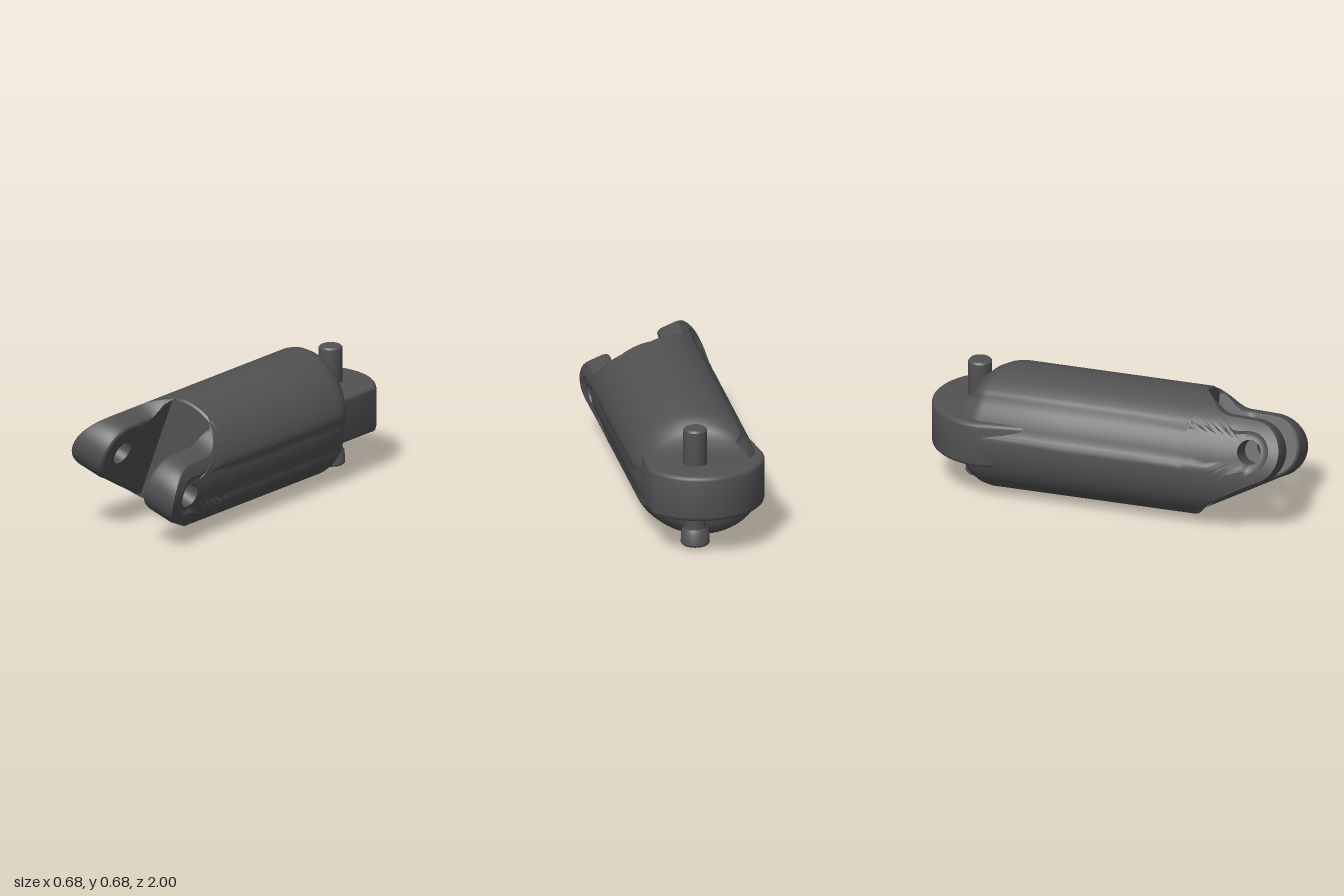
import * as THREE from 'three';
import { toCreasedNormals } from 'three/addons/utils/BufferGeometryUtils.js';

const R = 0.34;                 // body radius, also the height of its axis
const TILT = 0.36;              // roll of the fork about the body axis
const HZ = 0.81, HV = 0.05;     // hinge centre in the fork's own frame
const HOLE = 0.065, GAP = 0.14;
const COS = Math.cos(TILT), SIN = Math.sin(TILT);

// fork frame (u across, v up) to model space
const place = (u, v, z) => new THREE.Vector3(u * COS + v * SIN, R - u * SIN + v * COS, z);

// shallow side channel that runs back from the hinge hole
function groove(v, z) {
  const d = z > HZ ? Math.hypot(z - HZ, v - HV) : Math.abs(v - HV);
  return 0.018 * (1 - THREE.MathUtils.smoothstep(d, 0.085, 0.11));
}

// skin through closed loops of equal length
function skin(loops, wrap = false, crease = 0.6) {
  const n = loops[0].length, index = [];
  const rows = wrap ? loops.length : loops.length - 1;
  for (let i = 0; i < rows; i++) {
    for (let j = 0; j < n; j++) {
      const k = (j + 1) % n, p = i * n, q = ((i + 1) % loops.length) * n;
      index.push(p + j, p + k, q + k, p + j, q + k, q + j);
    }
  }
  const g = new THREE.BufferGeometry().setFromPoints(loops.flat());
  g.setIndex(index);
  return toCreasedNormals(g, crease);
}

// barrel with a domed, slightly slanted back end
function bodyGeometry() {
  const rings = [[0.001, -0.73], [0.15, -0.725], [0.23, -0.71], [0.28, -0.69], [0.312, -0.655],
    [0.332, -0.615], [R, -0.575], [R, -0.2], [R, 0.2], [R, 0.49], [0.33, 0.5], [0.001, 0.5]];
  return skin(rings.map(([r, z]) => {
    const loop = [];
    for (let j = 0; j < 96; j++) {
      const a = j / 96 * Math.PI * 2;
      const v = r * Math.sin(a);
      const rr = r > 0.3 ? r - groove(v, 0) : r;
      const p = place(rr * Math.cos(a), rr * Math.sin(a), z);
      if (z < -0.5) p.z += 0.3 * p.x;
      loop.push(p);
    }
    return loop;
  }));
}

// one hinge prong: side outline with a through hole, outer face on the barrel
function prongGeometry(side) {
  const s = new THREE.Shape();
  s.moveTo(0.44, -0.335);
  s.lineTo(0.5, -0.315);
  s.absarc(HZ, HV, 0.17, -1.25, Math.PI / 2, false);
  s.lineTo(0.67, 0.224);
  s.bezierCurveTo(0.58, 0.23, 0.55, 0.32, 0.47, 0.335);
  s.lineTo(0.44, 0.335);
  s.closePath();
  const outline = s.getSpacedPoints(90).slice(0, -1);

  const ring = (t, inset, outer) => outline.map((p) => {
    const dz = p.x - HZ, dv = p.y - HV, len = Math.hypot(dz, dv);
    const d = THREE.MathUtils.lerp(HOLE, len, t);
    const z = HZ + dz / len * d, v = HV + dv / len * d;
    const skinU = Math.sqrt(Math.max(0, R * R - v * v)) - groove(v, z);
    const inner = Math.min(GAP, skinU);
    const u = outer ? Math.max(inner, skinU - inset) : Math.min(skinU, inner + inset);
    return place(side * u, v, z - 0.06 * side * u);
  });

  const loops = [];
  for (const t of [0, 0.3, 0.6, 0.84]) loops.push(ring(t, 0, false));
  loops.push(ring(0.94, 0.008, false), ring(1, 0.03, false), ring(1, 0.015, true));
  for (const t of [0.96, 0.84, 0.7, 0.56, 0.42, 0.28, 0.14, 0]) loops.push(ring(t, 0, true));
  if (side > 0) loops.reverse();
  return skin(loops, true);
}

// flat tongue with a round end and one straight side
function tongueGeometry() {
  const s = new THREE.Shape();
  s.moveTo(0.295, 0.4);
  s.lineTo(0.295, 0.83);
  s.absarc(0, 0.66, R, Math.asin(0.5), Math.PI, false);
  s.lineTo(-0.3, 0.4);
  s.closePath();
  const g = new THREE.ExtrudeGeometry(s, {
    depth: 0.206, bevelThickness: 0.022, bevelSize: 0.022, bevelOffset: -0.022,
    bevelSegments: 3, curveSegments: 40,
  });
  g.rotateX(-Math.PI / 2).translate(0, 0.242, 0);
  return toCreasedNormals(g, 0.6);
}

// turned part from [radius, height] pairs, listed bottom to top
function turned(points) {
  const g = new THREE.LatheGeometry(points.map(([r, y]) => new THREE.Vector2(r, y)), 32);
  return toCreasedNormals(g, 0.6);
}

export function createModel() {
  const model = new THREE.Group();
  model.name = 'jointLink';
  const darkMetal = new THREE.MeshStandardMaterial({ color: 0x525154 });
  darkMetal.name = 'dark grey';

  const add = (name, geometry, x = 0, y = 0, z = 0) => {
    const mesh = new THREE.Mesh(geometry, darkMetal);
    mesh.name = name;
    mesh.position.set(x, y, z);
    model.add(mesh);
    return mesh;
  };

  add('body', bodyGeometry());
  add('leftProng', prongGeometry(1));
  add('rightProng', prongGeometry(-1));
  add('tongue', tongueGeometry());

  // upright hinge pin and its socketed head
  add('pin', turned([[0, 0.08], [0.058, 0.08], [0.058, 0.3], [0.063, 0.32], [0.063, 0.655],
    [0.055, 0.665], [0, 0.665]]), 0.045, 0, -0.765);
  add('pinHead', turned([[0, 0.06], [0.035, 0.06], [0.04, 0.016], [0.068, 0.015], [0.077, 0.025],
    [0.073, 0.09], [0.06, 0.108], [0, 0.108]]), 0.045, 0, -0.765);

  return model;
}
